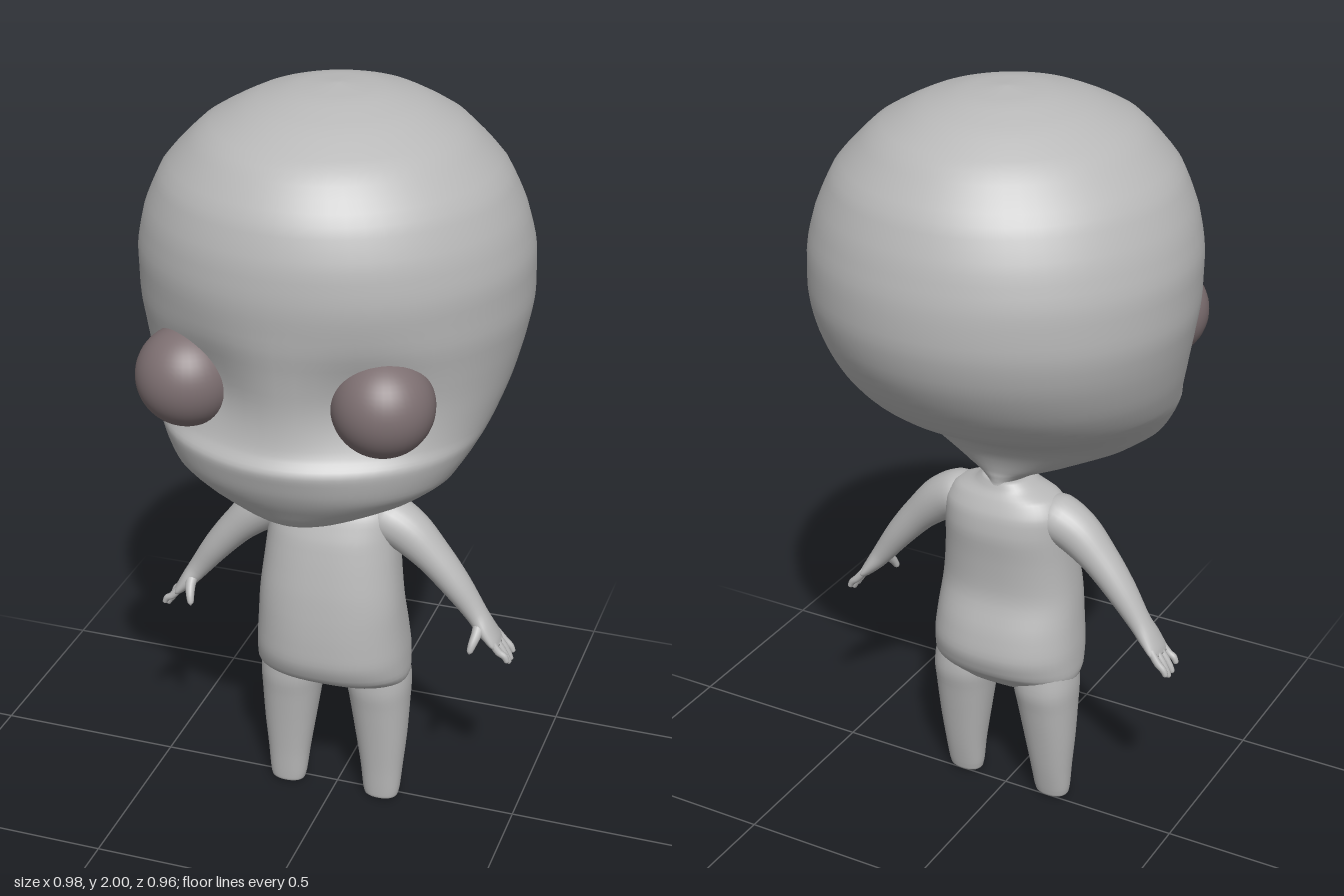
import * as THREE from 'three';

const skin = new THREE.MeshStandardMaterial({ color: 0xb9b9b9 });
skin.name = 'grey skin';
const eyeDark = new THREE.MeshStandardMaterial({ color: 0x7d6f71 });
eyeDark.name = 'dark eye';

// Smooth closed skin through rings {c: centre, a, b: half axes}, with a x b along the path.
function loft(rings, { sides = 32, steps = 4, power = 2, deform } = {}) {
  const curves = ['c', 'a', 'b'].map(k => new THREE.CatmullRomCurve3(rings.map(r => r[k])));
  const rows = (rings.length - 1) * steps;
  const pos = [], idx = [];
  const round = v => Math.sign(v) * Math.abs(v) ** (2 / power);
  for (let i = 0; i <= rows; i++) {
    const [c, a, b] = curves.map(k => k.getPoint(i / rows));
    for (let j = 0; j < sides; j++) {
      const t = (j / sides) * Math.PI * 2;
      const p = c.clone().addScaledVector(a, round(Math.cos(t))).addScaledVector(b, round(Math.sin(t)));
      if (deform) deform(p);
      pos.push(p.x, p.y, p.z);
    }
  }
  for (let i = 0; i < rows; i++) for (let j = 0; j < sides; j++) {
    const k = (j + 1) % sides, p = i * sides, q = p + sides;
    idx.push(p + j, p + k, q + k, p + j, q + k, q + j);
  }
  // end caps
  const first = rings[0].c, last = rings[rings.length - 1].c;
  const n = pos.length / 3, top = rows * sides;
  pos.push(first.x, first.y, first.z, last.x, last.y, last.z);
  for (let j = 0; j < sides; j++) {
    const k = (j + 1) % sides;
    idx.push(n, k, j, n + 1, top + j, top + k);
  }
  const g = new THREE.BufferGeometry();
  g.setAttribute('position', new THREE.Float32BufferAttribute(pos, 3));
  g.setIndex(idx);
  g.computeVertexNormals();
  return g;
}

// Level rings from bottom to top: [y, half width, front z, back z, centre x]
const levels = list => list.map(([y, w, f, b, x = 0]) => ({
  c: new THREE.Vector3(x, y, (f + b) / 2),
  a: new THREE.Vector3(w, 0, 0),
  b: new THREE.Vector3(0, 0, -(f - b) / 2),
}));

// Rings along a limb: [x, y, z, thickness radius, depth radius]; side mirrors x
function limb(list, side) {
  const pts = list.map(([x, y, z]) => new THREE.Vector3(x * side, y, z));
  return list.map((r, i) => {
    const d = pts[Math.min(i + 1, pts.length - 1)].clone().sub(pts[Math.max(i - 1, 0)]).normalize();
    const a = new THREE.Vector3(0, 0, 1).cross(d).normalize();
    const b = d.clone().cross(a);
    return { c: pts[i], a: a.multiplyScalar(r[3]), b: b.multiplyScalar(r[4]) };
  });
}

export function createModel() {
  const model = new THREE.Group();
  model.name = 'bigHeadedFigure';
  const add = (name, geometry, material = skin) => {
    const m = new THREE.Mesh(geometry, material);
    m.name = name;
    model.add(m);
    return m;
  };

  // head and neck, with shallow eye sockets
  const sockets = p => {
    if (p.z < 0.1) return;
    const dx = Math.abs(p.x) - 0.2, dy = p.y - 1.35;
    p.z -= 0.035 * Math.exp(-(dx * dx + dy * dy) / 0.015);
  };
  add('head', loft(levels([
    [0.92, 0.07, 0.08, -0.055], [0.95, 0.06, 0.09, -0.055], [0.965, 0.07, 0.26, -0.055],
    [0.98, 0.11, 0.34, -0.057], [1.0, 0.18, 0.38, -0.06], [1.05, 0.29, 0.42, -0.08],
    [1.1, 0.355, 0.452, -0.12], [1.15, 0.388, 0.472, -0.2], [1.19, 0.41, 0.481, -0.275],
    [1.225, 0.425, 0.458, -0.32], [1.3, 0.45, 0.447, -0.39], [1.4, 0.474, 0.455, -0.45],
    [1.5, 0.489, 0.47, -0.478], [1.6, 0.488, 0.48, -0.479], [1.7, 0.466, 0.475, -0.46],
    [1.8, 0.42, 0.445, -0.42], [1.9, 0.325, 0.365, -0.335], [1.96, 0.215, 0.24, -0.23],
    [1.99, 0.11, 0.12, -0.12], [2.0, 0.01, 0.01, -0.01],
  ]), { sides: 64, deform: sockets }));

  // eyes
  for (const [name, x, y, z] of [['leftEye', 0.23, 1.345, 0.35], ['rightEye', -0.265, 1.35, 0.345]]) {
    add(name, new THREE.SphereGeometry(0.125, 40, 28), eyeDark).position.set(x, y, z);
  }

  // torso with round belly and hips
  add('torso', loft(levels([
    [0.345, 0.05, 0.03, -0.03], [0.36, 0.16, 0.075, -0.06], [0.385, 0.2, 0.115, -0.085],
    [0.42, 0.208, 0.162, -0.118], [0.48, 0.206, 0.184, -0.133], [0.55, 0.2, 0.184, -0.12],
    [0.64, 0.192, 0.177, -0.092], [0.74, 0.181, 0.162, -0.094], [0.82, 0.174, 0.145, -0.102],
    [0.88, 0.17, 0.122, -0.095], [0.92, 0.145, 0.1, -0.075], [0.942, 0.09, 0.088, -0.06],
    [0.965, 0.06, 0.08, -0.05],
  ]), { sides: 48, power: 2.3 }));

  for (const [side, word] of [[1, 'left'], [-1, 'right']]) {
    // tapering leg with a blunt end
    add(word + 'Leg', loft(levels([
      [0, 0.036, 0.045, -0.002, 0.133], [0.008, 0.046, 0.055, -0.01, 0.134],
      [0.03, 0.051, 0.058, -0.016, 0.134], [0.1, 0.058, 0.064, -0.032, 0.133],
      [0.2, 0.07, 0.076, -0.052, 0.13], [0.3, 0.08, 0.09, -0.072, 0.125],
      [0.37, 0.086, 0.1, -0.085, 0.121], [0.44, 0.08, 0.1, -0.08, 0.118],
    ].map(([y, w, f, b, x]) => [y, w, f, b, x * side])), { power: 2.2 }));

    // arm running into a flattened palm
    add(word + 'Arm', loft(limb([
      [0.08, 0.885, 0.015, 0.03, 0.04], [0.14, 0.868, 0.018, 0.062, 0.068],
      [0.2, 0.835, 0.02, 0.06, 0.062], [0.265, 0.775, 0.02, 0.048, 0.052],
      [0.33, 0.698, 0.018, 0.039, 0.043], [0.385, 0.622, 0.016, 0.029, 0.034],
      [0.41, 0.588, 0.018, 0.024, 0.04], [0.436, 0.555, 0.016, 0.016, 0.043],
      [0.447, 0.541, 0.015, 0.01, 0.036],
    ], side), { sides: 28 }));

    // four fingers
    [[0.046, 0.505], [0.023, 0.49], [0.002, 0.488], [-0.018, 0.5]].forEach(([z, y], i) => {
      add(word + 'Finger' + (i + 1), loft(limb([
        [0.432, 0.563, z * 0.9 + 0.002, 0.01, 0.01], [0.456, 0.533, z, 0.01, 0.01],
        [0.472, y + 0.018, z, 0.009, 0.009], [0.479, y + 0.004, z, 0.007, 0.007],
        [0.481, y, z, 0.001, 0.001],
      ], side), { sides: 10, steps: 3 }));
    });

    // thumb
    add(word + 'Thumb', loft(limb([
      [0.4, 0.605, 0.03, 0.018, 0.016], [0.398, 0.582, 0.056, 0.014, 0.014],
      [0.392, 0.56, 0.075, 0.011, 0.011], [0.388, 0.543, 0.083, 0.008, 0.008],
      [0.387, 0.536, 0.086, 0.001, 0.001],
    ], side), { sides: 12, steps: 3 }));
  }
  return model;
}
